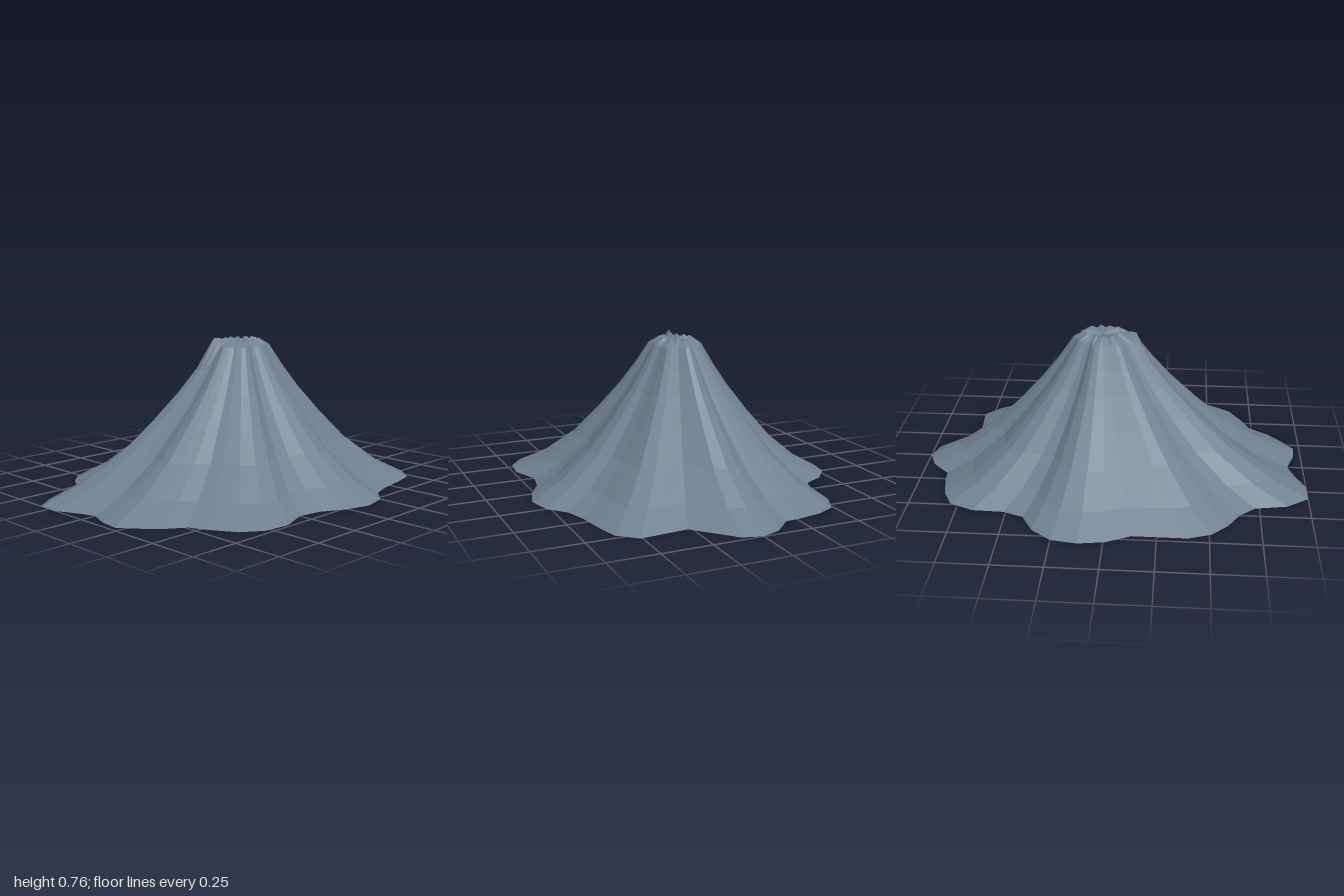
import * as THREE from 'three';

// Scalloped foot of the mountain as x, z pairs, counter-clockwise from above
const FOOT = [
  1, 0, 0.96, -0.1, 0.87, -0.19, 0.865, -0.26, 0.84, -0.39, 0.79, -0.49, 0.67, -0.545, 0.51, -0.55,
  0.41, -0.59, 0.35, -0.7, 0.25, -0.78, 0.12, -0.8, -0.01, -0.78, -0.13, -0.72, -0.25, -0.72, -0.4, -0.72,
  -0.51, -0.68, -0.59, -0.6, -0.65, -0.5, -0.73, -0.43, -0.89, -0.4, -1, -0.32, -1, -0.2, -0.95, -0.09,
  -0.92, 0, -0.96, 0.11, -0.97, 0.21, -0.91, 0.29, -0.84, 0.37, -0.74, 0.44, -0.7, 0.53, -0.63, 0.65,
  -0.53, 0.72, -0.4, 0.735, -0.25, 0.68, -0.13, 0.7, -0.01, 0.765, 0.12, 0.8, 0.25, 0.77, 0.34, 0.69,
  0.45, 0.655, 0.6, 0.63, 0.72, 0.6, 0.8, 0.51, 0.79, 0.39, 0.78, 0.27, 0.89, 0.17, 0.97, 0.1,
];
const COUNT = FOOT.length / 2;
const CENTRE_X = 0.06;

// Slope profile: [scale of the foot outline, height]
const RINGS = [[1, 0], [0.82, 0.08], [0.62, 0.215], [0.47, 0.355], [0.335, 0.495], [0.24, 0.61], [0.16, 0.72], [0.1, 0.75]];

// Point i of a ring; the two top rings get a ragged rim with a peak on one side
function ringPoint(ring, i) {
  const k = i % COUNT;
  const [scale, height] = RINGS[ring];
  let y = height;
  if (ring === 6 && k >= 21 && k <= 23) y += k === 22 ? 0.045 : 0.025;
  if (ring === 7) y += 0.007 * Math.sin(k * 1.7);
  return [CENTRE_X + (FOOT[2 * k] - CENTRE_X) * scale, y, FOOT[2 * k + 1] * scale];
}

// Unshared corners give faceted normals
function facetedMesh(name, positions, material) {
  const geometry = new THREE.BufferGeometry();
  geometry.setAttribute('position', new THREE.Float32BufferAttribute(positions, 3));
  geometry.computeVertexNormals();
  const mesh = new THREE.Mesh(geometry, material);
  mesh.name = name;
  return mesh;
}

export function createModel() {
  const group = new THREE.Group();
  group.name = 'mountain';
  const rock = new THREE.MeshStandardMaterial({ color: 0x708090 });
  rock.name = 'slate rock';

  const slopes = [], crater = [], base = [];
  const last = RINGS.length - 1;
  for (let i = 0; i < COUNT; i++) {
    // Ridged slopes, ring by ring
    for (let r = 0; r < last; r++) {
      const a = ringPoint(r, i), b = ringPoint(r, i + 1);
      const c = ringPoint(r + 1, i + 1), d = ringPoint(r + 1, i);
      slopes.push(...a, ...b, ...c, ...a, ...c, ...d);
    }
    // Shallow summit hollow and flat underside
    crater.push(...ringPoint(last, i), ...ringPoint(last, i + 1), CENTRE_X, 0.735, 0);
    base.push(...ringPoint(0, i + 1), ...ringPoint(0, i), CENTRE_X, 0, 0);
  }

  group.add(
    facetedMesh('slopes', slopes, rock),
    facetedMesh('summitHollow', crater, rock),
    facetedMesh('underside', base, rock),
  );
  return group;
}
